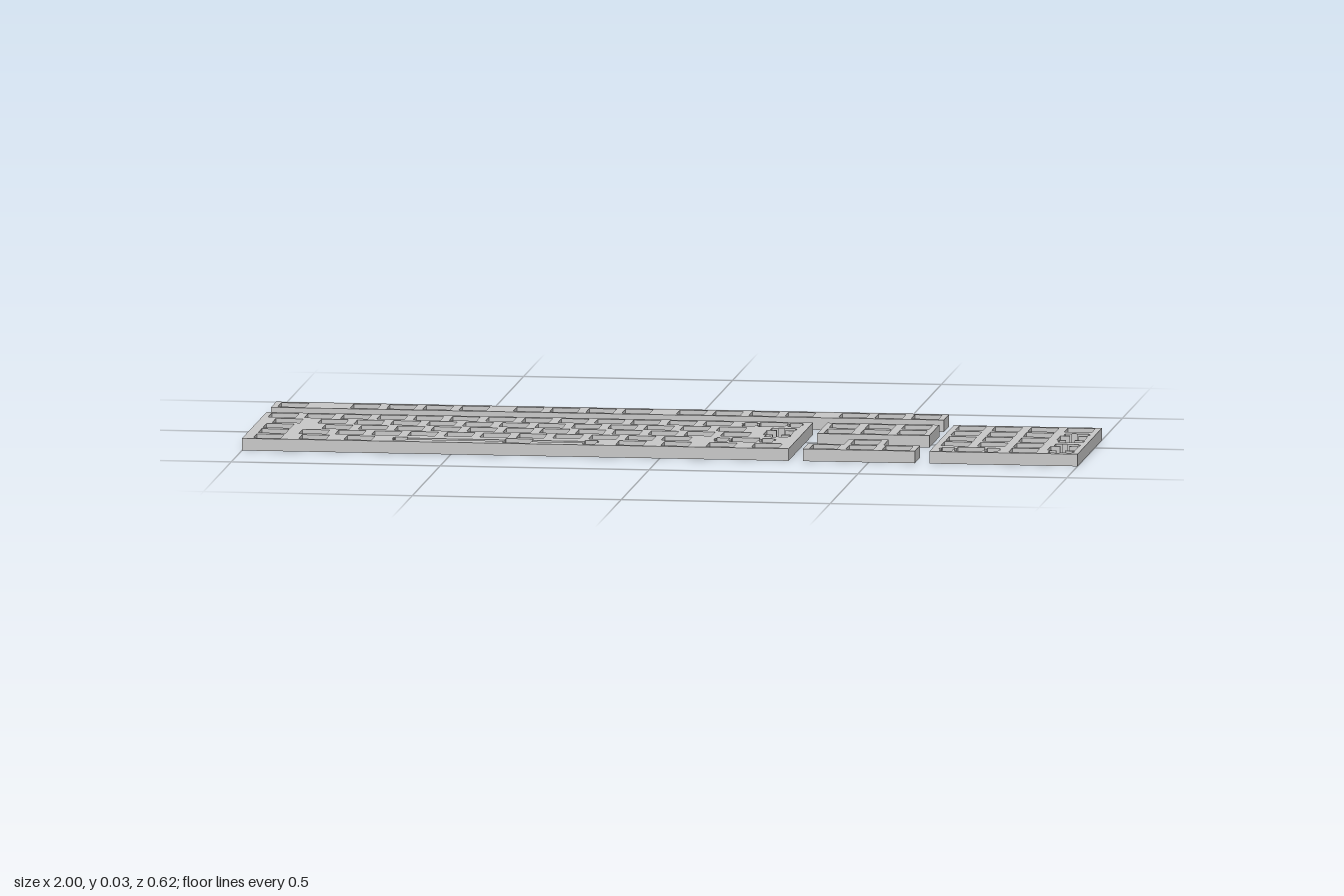
import * as THREE from 'three';

const U = 0.0867;          // key pitch
const MM = U / 19.05;      // one millimetre
const M = 0.004;           // rim around each key block
const H = 0.029;           // plate thickness
const S = 7.2;             // half switch hole, mm
const C = 2.3;             // half channel between switch and stabiliser, mm
const Z0 = -0.1295;        // back edge of the first main key row

const range = (start, n) => Array.from({ length: n }, (_, i) => start + i);

// Right half of a stabilised slot (mm), from top to bottom, stabiliser at p
const slotHalf = (p) => [
  [S, S], [S, C], [p - 3.3, C], [p - 3.3, 5.7], [p + 3.3, 5.7],
  [p + 3.3, 2.3], [p + 4.2, 2.3], [p + 4.2, -0.5], [p + 3.3, -0.5],
  [p + 3.3, -6.6], [p + 1.5, -6.6], [p + 1.5, -7.7], [p - 1.5, -7.7],
  [p - 1.5, -6.6], [p - 3.3, -6.6], [p - 3.3, -C], [S, -C], [S, -S],
];

const slot = (left, right) =>
  [...slotHalf(right), ...slotHalf(left).map(([x, y]) => [-x, y]).reverse()];

const SQUARE = [[S, S], [S, -S], [-S, -S], [-S, S]];
const WIDE = slot(11.94, 11.94);
const TALL = WIDE.map(([x, y]) => [-y, x]);
const SPACE = slot(61.9, 38.1);

// Rows of square holes: centres in key units, one array per row
const squares = (rows) =>
  rows.flatMap((xs, r) => xs.map((x) => ({ x, z: r + 0.5, cut: SQUARE })));

// Plate from an outline [x, z] with its holes placed from the corner (x0, z0);
// the outline runs anticlockwise and the holes clockwise so all walls face outward
function plate(name, material, outline, x0, z0, holes) {
  const shape = new THREE.Shape(outline.map(([x, z]) => new THREE.Vector2(x, -z)).reverse());
  for (const { x, z, cut } of holes) {
    shape.holes.push(new THREE.Path(cut.map(([a, b]) =>
      new THREE.Vector2(x0 + x * U + a * MM, -(z0 + z * U) + b * MM))));
  }
  const geometry = new THREE.ExtrudeGeometry(shape, { depth: H, bevelEnabled: false });
  geometry.rotateX(-Math.PI / 2);
  const mesh = new THREE.Mesh(geometry, material);
  mesh.name = name;
  return mesh;
}

// Rectangle around a block of w by d keys
const block = (x0, z0, w, d) => [
  [x0 - M, z0 - M], [x0 + w * U + M, z0 - M],
  [x0 + w * U + M, z0 + d * U + M], [x0 - M, z0 + d * U + M],
];

export function createModel() {
  const group = new THREE.Group();
  group.name = 'keyboardPlates';
  const grey = new THREE.MeshStandardMaterial({ color: 0xc8c8c8 });
  grey.name = 'plateGrey';

  const mainX = -1 + M;
  const navX = 0.3424 + M;
  const padX = 1 - M - 4 * U;
  const backZ = -0.308 + M;

  // Back row, whose last three keys line up with the navigation block
  const navUnits = (navX - mainX) / U;
  group.add(plate('backRowPlate', grey, block(mainX, backZ, navUnits + 3, 1), mainX, backZ,
    squares([[0.5, ...range(2.5, 4), ...range(7, 4), ...range(11.5, 4),
      ...range(navUnits + 0.5, 3)]])));

  // Main block with long keys and space bar
  group.add(plate('mainPlate', grey, block(mainX, Z0, 15, 5), mainX, Z0, [
    ...squares([
      range(0.5, 13),
      [0.75, ...range(2, 12)],
      [0.625, ...range(2.25, 12)],
      [0.625, ...range(1.75, 11)],
      [0.625, 1.875, 3.125, 10.625, 11.875, 13.125, 14.375],
    ]),
    { x: 14, z: 0.5, cut: WIDE },
    { x: 14.375, z: 2, cut: TALL },
    { x: 13.625, z: 3.5, cut: WIDE },
    { x: 7.5, z: 4.5, cut: SPACE },
  ]));

  // Navigation block
  group.add(plate('navigationPlate', grey, block(navX, Z0, 3, 2), navX, Z0,
    squares([range(0.5, 3), range(0.5, 3)])));

  // Arrow keys: bottom row with a tab for the upper key
  const arrowZ = Z0 + 3 * U;
  const [a, b, c, d] = block(navX, arrowZ + U, 3, 1);
  const [t0, t1] = block(navX + U, arrowZ, 1, 1);
  group.add(plate('arrowPlate', grey,
    [a, [t0[0], a[1]], t0, t1, [t1[0], a[1]], b, c, d],
    navX, arrowZ, squares([[1.5], range(0.5, 3)])));

  // Number pad with two tall keys and one wide key
  group.add(plate('numberPadPlate', grey, block(padX, Z0, 4, 5), padX, Z0, [
    ...squares([range(0.5, 4), range(0.5, 3), range(0.5, 3), range(0.5, 3), [2.5]]),
    { x: 3.5, z: 2, cut: TALL },
    { x: 3.5, z: 4, cut: TALL },
    { x: 1, z: 4.5, cut: WIDE },
  ]));

  return group;
}
